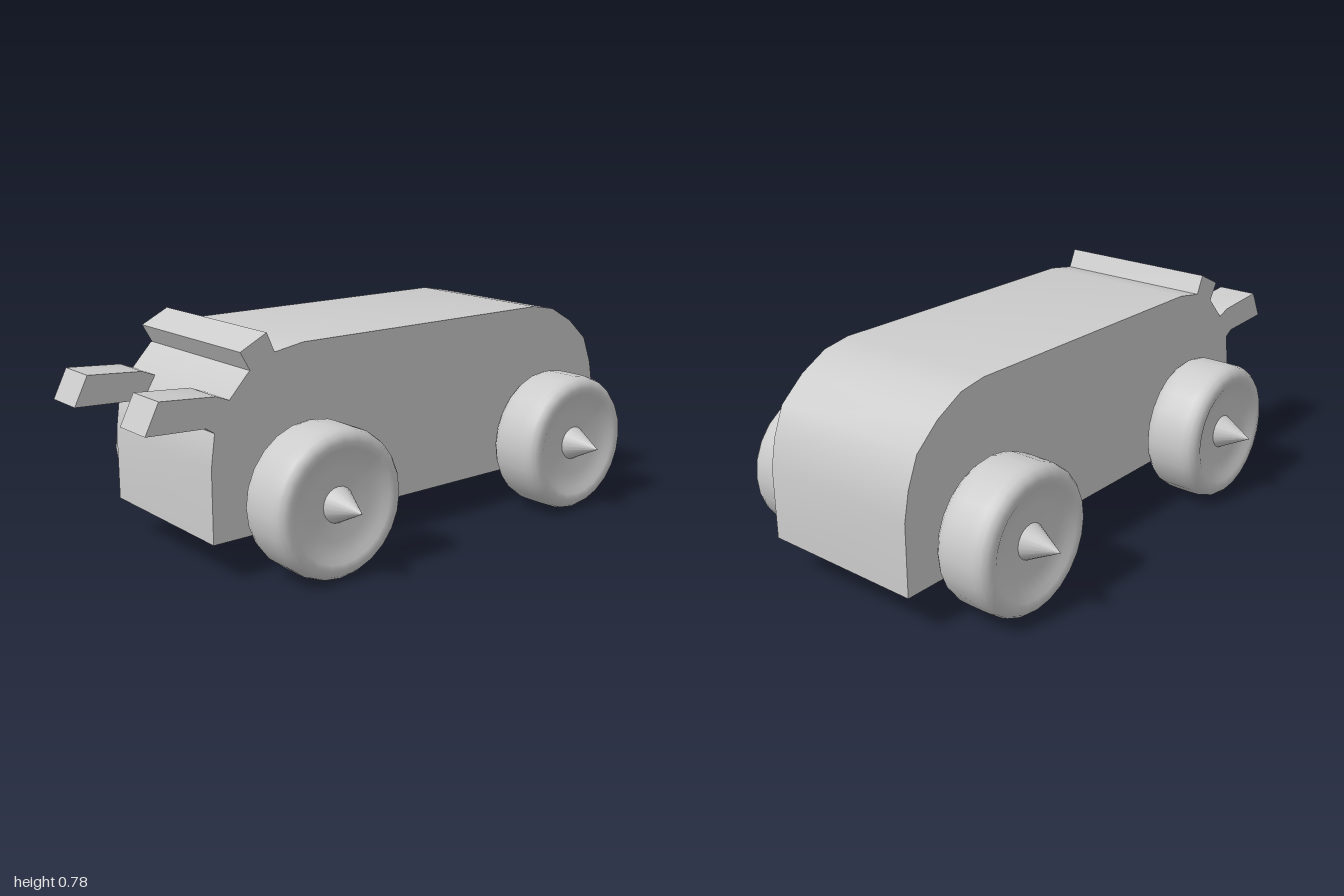
import * as THREE from 'three';
import { toCreasedNormals } from 'three/addons/utils/BufferGeometryUtils.js';

const material = new THREE.MeshStandardMaterial({ color: 0xcccccc });

// Side profile given as [z, y] points, spanning x0..x1
function slab(name, profile, x0, x1) {
  const shape = new THREE.Shape(profile.map(([z, y]) => new THREE.Vector2(z, y)));
  const geo = new THREE.ExtrudeGeometry(shape, { depth: x1 - x0, bevelEnabled: false });
  geo.rotateY(-Math.PI / 2).translate(x1, 0, 0);
  const mesh = new THREE.Mesh(toCreasedNormals(geo, 0.55), material);
  mesh.name = name;
  return mesh;
}

// Rounded tyre with dished faces and a pointed hub on each side, axis along x
function makeWheel(name, x, z) {
  const wheel = new THREE.Group();
  wheel.name = name;

  const half = [
    [0.25, 0.03], [0.249, 0.06], [0.243, 0.082], [0.23, 0.098], [0.21, 0.104],
    [0.19, 0.1], [0.17, 0.089], [0.12, 0.076], [0, 0.07],
  ].map(([r, h]) => new THREE.Vector2(r, h));
  const inner = half.map((p) => new THREE.Vector2(p.x, -p.y)).reverse();
  const tyreGeo = new THREE.LatheGeometry([...inner, ...half], 24);
  tyreGeo.rotateZ(-Math.PI / 2);
  const tyre = new THREE.Mesh(tyreGeo, material);
  tyre.name = 'tyre';
  wheel.add(tyre);

  for (const side of [-1, 1]) {
    const geo = new THREE.ConeGeometry(0.067, 0.13, 20);
    geo.rotateZ(-side * Math.PI / 2).translate(side * 0.125, 0, 0);
    const hub = new THREE.Mesh(geo, material);
    hub.name = 'hubSpike';
    wheel.add(hub);
  }
  wheel.position.set(x, 0.25, z);
  return wheel;
}

export function createModel() {
  const car = new THREE.Group();
  car.name = 'toyCar';
  const left = 0.29, right = -0.31;

  // Body with rounded nose and tail
  car.add(slab('body', [
    [0.775, 0.13], [0.775, 0.38], [0.76, 0.49], [0.7, 0.59], [0.63, 0.665],
    [0.53, 0.715], [0.42, 0.733], [-0.65, 0.733], [-0.75, 0.715], [-0.85, 0.66],
    [-0.94, 0.58], [-0.98, 0.48], [-1, 0.38], [-1, 0.13],
  ], right, left));

  // Visor strip above the windscreen
  car.add(slab('visor', [
    [0.66, 0.73], [0.62, 0.66], [0.57, 0.66], [0.52, 0.69], [0.56, 0.78],
  ], right, left));

  // Projecting headlamps
  const lamp = [
    [1, 0.52], [0.95, 0.62], [0.75, 0.605], [0.7, 0.585],
    [0.68, 0.54], [0.755, 0.487], [0.79, 0.51],
  ];
  car.add(slab('leftHeadlamp', lamp, 0.14, left));
  car.add(slab('rightHeadlamp', lamp, right, -0.16));

  // Wheels
  car.add(makeWheel('frontLeftWheel', 0.428, 0.445));
  car.add(makeWheel('frontRightWheel', -0.432, 0.432));
  car.add(makeWheel('rearLeftWheel', 0.419, -0.665));
  car.add(makeWheel('rearRightWheel', -0.432, -0.665));

  return car;
}
